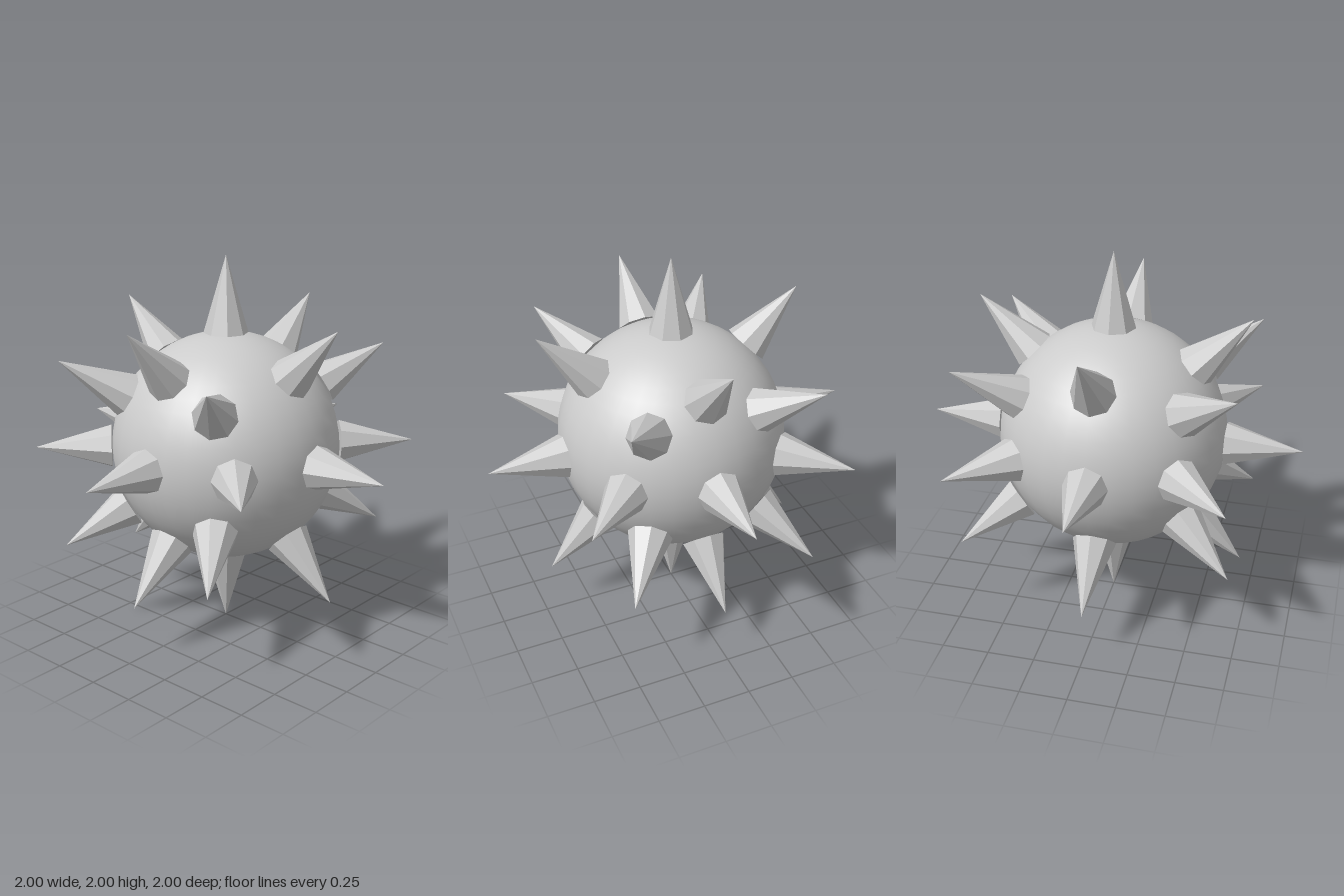
import * as THREE from 'three';

const BODY_RADIUS = 0.6;
const SPIKE_LENGTH = 0.4;
const SPIKE_RADIUS = 0.116;

export function createModel() {
  const model = new THREE.Group();
  model.name = 'spikedBall';

  const smooth = new THREE.MeshStandardMaterial({ color: 0xcccccc });
  const faceted = new THREE.MeshStandardMaterial({ color: 0xcccccc, flatShading: true });

  // Everything radiates from the centre of the ball
  const ball = new THREE.Group();
  ball.name = 'ball';
  ball.position.y = 1;
  model.add(ball);

  // Smooth round body
  const body = new THREE.Mesh(new THREE.SphereGeometry(BODY_RADIUS, 32, 24), smooth);
  body.name = 'body';
  ball.add(body);

  // Eight-sided spike pointing up, its base resting on the body
  const spikeGeometry = new THREE.ConeGeometry(SPIKE_RADIUS, SPIKE_LENGTH, 8);
  spikeGeometry.translate(0, BODY_RADIUS + SPIKE_LENGTH / 2, 0);

  // tilt leans the spike toward +x, turn then swings it around the x axis
  const addSpike = (tilt, turn) => {
    const spike = new THREE.Mesh(spikeGeometry, faceted);
    spike.name = 'spike';
    spike.rotation.set(turn, 0, -tilt);
    ball.add(spike);
  };

  // Three rings of eight spikes around the x axis
  for (const tilt of [-Math.PI / 4, 0, Math.PI / 4]) {
    for (let i = 0; i < 8; i++) addSpike(tilt, (i * Math.PI) / 4);
  }

  // One spike at each end of the x axis
  for (const side of [-1, 1]) addSpike((side * Math.PI) / 2, 0);

  return model;
}
